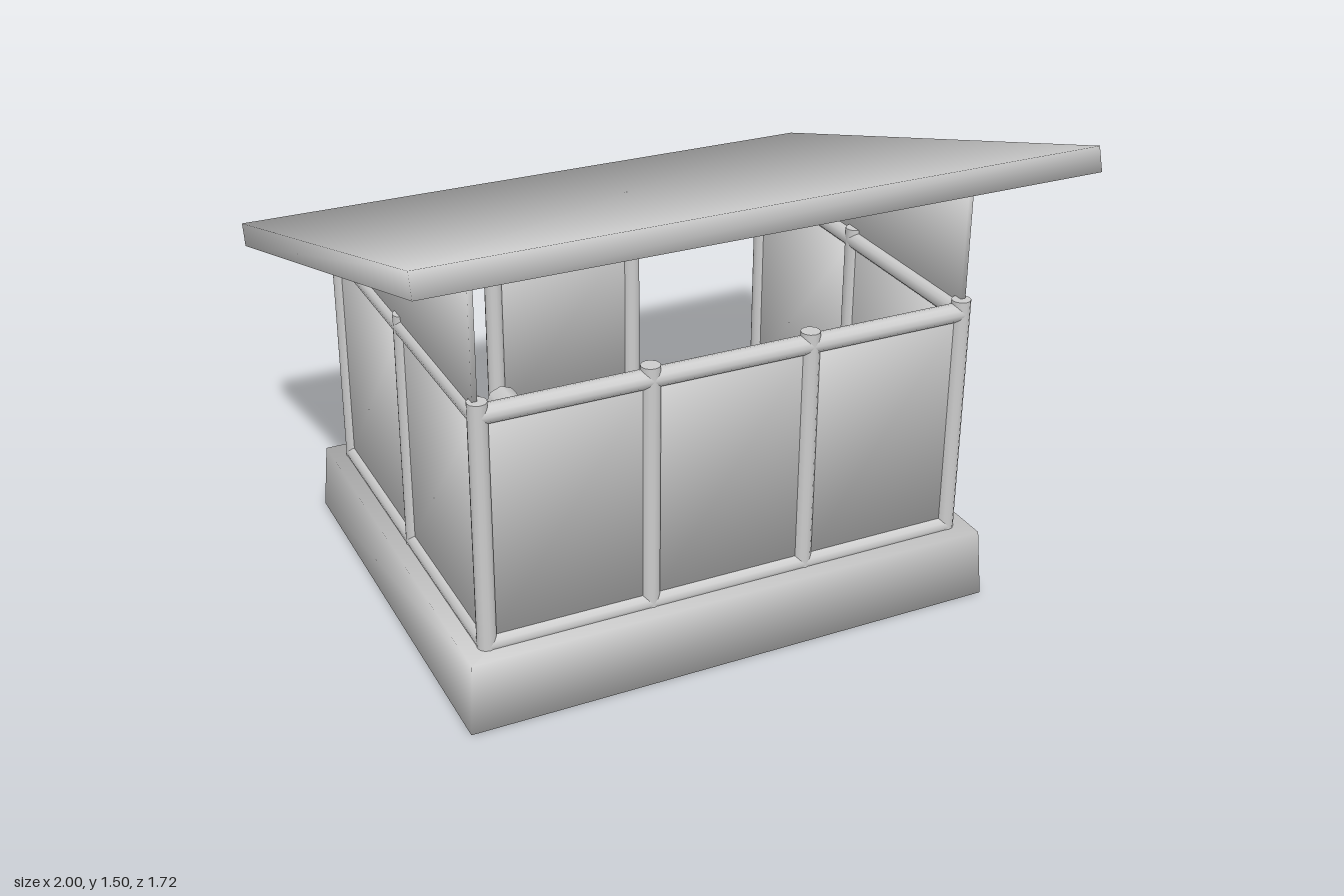
import * as THREE from 'three';

export function createModel() {
  const model = new THREE.Group();
  model.name = 'woodShed';
  const grey = new THREE.MeshStandardMaterial({ color: 0xcccccc });
  grey.name = 'plain grey';

  const FLOOR = 0.215, TOP = 0.985, RAIL_Y = 0.945, SILL_Y = 0.225, R = 0.029;
  const zs = [0.595, -0.008, -0.612];
  const xs = [-0.755, -0.25, 0.25, 0.755];

  const add = (name, geometry, x = 0, y = 0, z = 0) => {
    const mesh = new THREE.Mesh(geometry, grey);
    mesh.name = name;
    mesh.position.set(x, y, z);
    model.add(mesh);
    return mesh;
  };

  // Box with normals softened across its corners; "move" may reshape it
  const softBox = (w, h, d, move) => {
    const g = new THREE.BoxGeometry(w, h, d);
    const p = g.attributes.position, n = g.attributes.normal;
    const v = new THREE.Vector3();
    for (let i = 0; i < p.count; i++) {
      v.fromBufferAttribute(p, i);
      const s = new THREE.Vector3(Math.sign(v.x), Math.sign(v.y), Math.sign(v.z)).normalize();
      n.setXYZ(i, s.x, s.y, s.z);
      if (move) move(v);
      p.setXYZ(i, v.x, v.y, v.z);
    }
    return g;
  };

  // Round bar between two points
  const bar = (name, a, b, r = R, sides = 12) => {
    const from = new THREE.Vector3(...a), to = new THREE.Vector3(...b);
    const dir = to.clone().sub(from);
    const mesh = add(name, new THREE.CylinderGeometry(r, r, dir.length(), sides));
    mesh.position.copy(from).add(to).multiplyScalar(0.5);
    mesh.quaternion.setFromUnitVectors(new THREE.Vector3(0, 1, 0), dir.normalize());
    return mesh;
  };

  // Tapered base
  add('base', softBox(1.69, FLOOR, 1.395, (v) => {
    if (v.y > 0) { v.x *= 0.982; v.z *= 0.979; }
  }), 0, FLOOR / 2, zs[1]);

  // Posts around the edge
  xs.forEach((x, i) => zs.forEach((z, j) => {
    if (j === 1 && i > 0 && i < 3) return;
    bar('post', [x, FLOOR - 0.01, z], [x, TOP, z]);
  }));

  // Rails and panels of the front and back
  const PANEL_T = 0.018, PANEL_BOTTOM = 0.22;
  for (let i = 0; i < 3; i++) {
    const mid = (xs[i] + xs[i + 1]) / 2, width = xs[i + 1] - xs[i];
    for (const z of [zs[0], zs[2]]) {
      bar('topRail', [xs[i], RAIL_Y, z], [xs[i + 1], RAIL_Y, z]);
      bar('bottomRail', [xs[i], SILL_Y, z], [xs[i + 1], SILL_Y, z]);
    }
    add('frontPanel', softBox(width, 0.72, PANEL_T), mid, PANEL_BOTTOM + 0.36, zs[0]);
  }
  bar('backMiddleRail', [xs[1], 0.825, zs[2]], [xs[2], 0.825, zs[2]]);
  add('backPanel', softBox(0.5, 0.605, PANEL_T), 0, PANEL_BOTTOM + 0.3025, zs[2]);

  // Side walls, with a wedge filling the space up to the roof
  for (const x of [xs[0], xs[3]]) {
    for (let j = 0; j < 2; j++) {
      const mid = (zs[j] + zs[j + 1]) / 2, depth = zs[j] - zs[j + 1];
      bar('sideTopRail', [x, RAIL_Y, zs[j]], [x, RAIL_Y, zs[j + 1]]);
      bar('sideBottomRail', [x, SILL_Y, zs[j]], [x, SILL_Y, zs[j + 1]]);
      add('sidePanel', softBox(PANEL_T, 0.72, depth), x, PANEL_BOTTOM + 0.36, mid);
    }
    add('sideWedge', softBox(0.016, 0.4, 1.2, (v) => {
      v.y = v.y < 0 ? 0.95 : v.z > 0 ? 1.35 : 0.972;
    }), x + Math.sign(x) * -0.0 + Math.sign(x) * 0.008 - Math.sign(x) * 0.002, 0, -0.005);
  }

  // Sloping roof, high at the front
  const roof = add('roof', softBox(2, 0.073, 1.776), 0, 1.21, 0);
  roof.rotation.x = -Math.atan2(0.515, 1.7);

  // Stack of logs inside the shed
  [[4, -0.58, 0.27], [3, -0.52, 0.365]].forEach(([count, x0, y]) => {
    for (let i = 0; i < count; i++) {
      const x = x0 + i * 0.12;
      bar('log', [x, y, -0.49], [x, y, 0.25], 0.055, 8);
    }
  });

  // Low block on the floor
  add('block', softBox(0.28, 0.18, 0.36), 0.43, FLOOR + 0.09, -0.09);

  return model;
}
